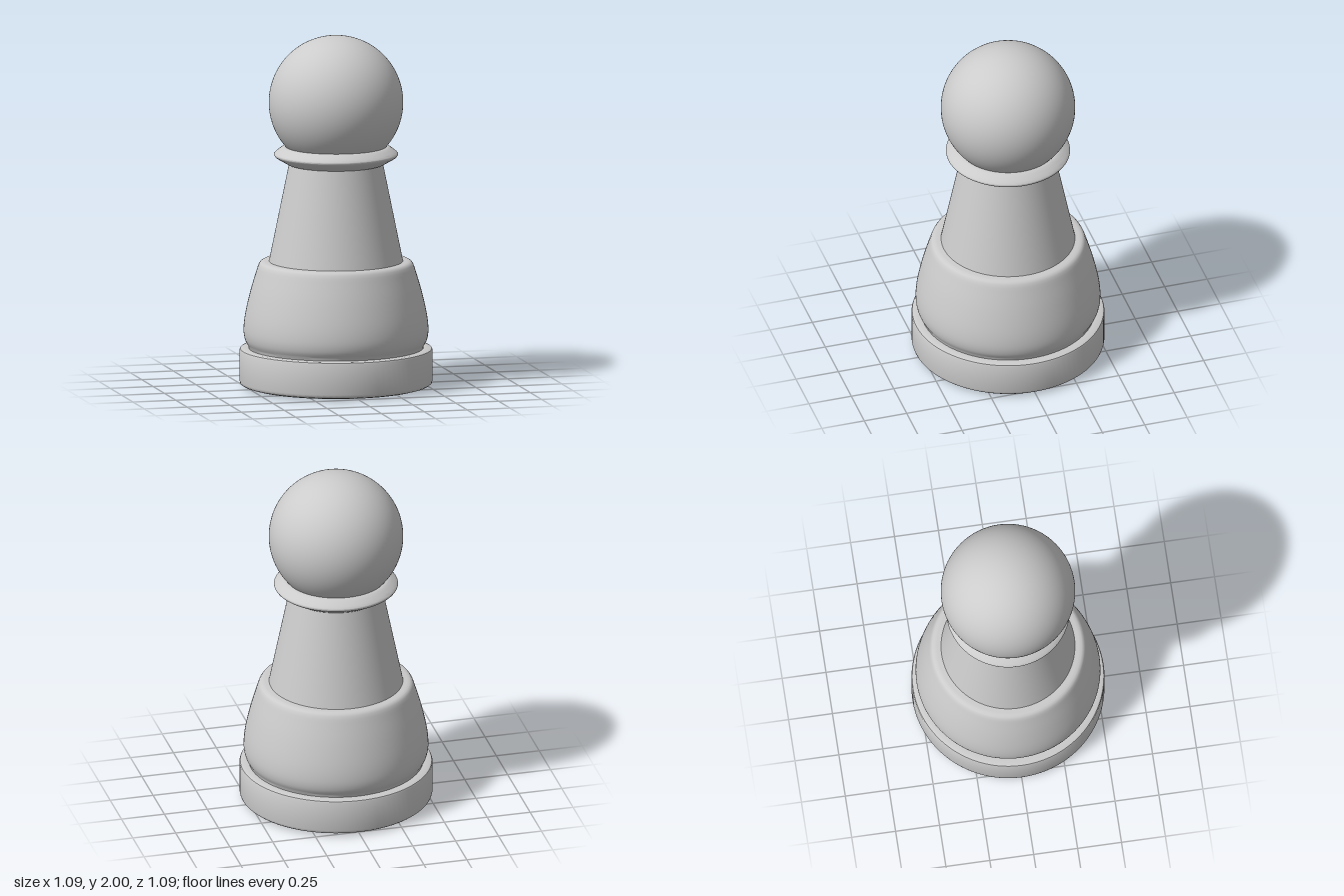
import * as THREE from 'three';
import { toCreasedNormals } from 'three/addons/utils/BufferGeometryUtils.js';

const SEGMENTS = 96;
const material = new THREE.MeshStandardMaterial({ color: 0xcccccc });

// Turned part: profile of [radius, height] pairs from bottom to top, closed on the axis
function turned(name, profile) {
  const points = profile.map(([r, y]) => new THREE.Vector2(r, y));
  points.unshift(new THREE.Vector2(0, profile[0][1]));
  points.push(new THREE.Vector2(0, profile[profile.length - 1][1]));
  const geometry = toCreasedNormals(new THREE.LatheGeometry(points, SEGMENTS), 0.6);
  const mesh = new THREE.Mesh(geometry, material);
  mesh.name = name;
  return mesh;
}

// Smooth curve through a few profile points
function smooth(profile, count) {
  const curve = new THREE.SplineCurve(profile.map(([r, y]) => new THREE.Vector2(r, y)));
  return curve.getPoints(count).map((p) => [p.x, p.y]);
}

export function createModel() {
  const group = new THREE.Group();
  group.name = 'pawn';

  // Foot disc with softened rims and a shallow bevel underneath
  group.add(turned('base', [
    [0.44, 0], [0.505, 0.008], [0.532, 0.016], [0.541, 0.024], [0.544, 0.036],
    [0.544, 0.208], [0.54, 0.217], [0.53, 0.221], [0.5, 0.222],
  ]));

  // Bulging lower body with a rounded shoulder
  group.add(turned('body', [
    [0.49, 0.2],
    ...smooth([[0.495, 0.235], [0.514, 0.272], [0.521, 0.33], [0.511, 0.42], [0.481, 0.55], [0.442, 0.68]], 24),
    [0.435, 0.698], [0.427, 0.709], [0.416, 0.715], [0.4, 0.717],
  ]));

  // Tapered stem
  group.add(turned('stem', [[0.381, 0.7], [0.377, 0.72], [0.263, 1.28]]));

  // Thin flared collar with a rounded rim
  group.add(turned('collar', [
    [0.262, 1.268], [0.275, 1.272], [0.338, 1.309],
    ...smooth([[0.345, 1.315], [0.35, 1.325], [0.343, 1.336], [0.32, 1.354], [0.298, 1.367], [0.28, 1.37]], 16),
  ]));

  // Ball head
  const head = new THREE.Mesh(new THREE.SphereGeometry(0.379, SEGMENTS, 64), material);
  head.name = 'head';
  head.position.y = 1.621;
  group.add(head);

  return group;
}
